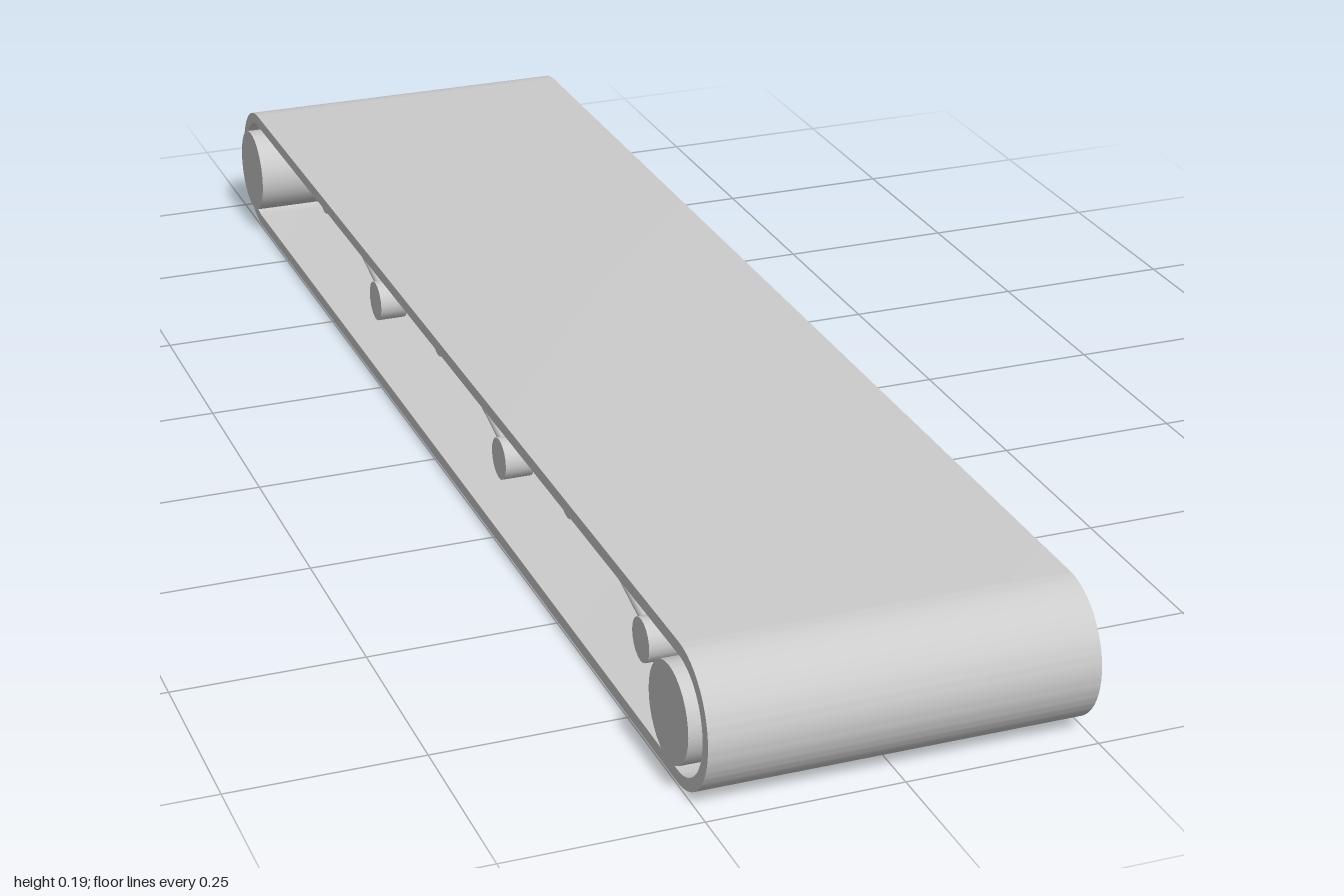
import * as THREE from 'three';
import { toCreasedNormals } from 'three/addons/utils/BufferGeometryUtils.js';

const material = new THREE.MeshStandardMaterial({ color: 0xcccccc });
const MID_Y = 0.0925;   // height of the roller axes
const AXLE_Z = 0.9075;  // distance of the roller axes from the middle

function add(parent, name, geometry) {
  const mesh = new THREE.Mesh(geometry, material);
  mesh.name = name;
  parent.add(mesh);
  return mesh;
}

// Stadium outline around both roller axes
function stadium(path, r) {
  path.absarc(AXLE_Z, MID_Y, r, -Math.PI / 2, Math.PI / 2, false);
  path.absarc(-AXLE_Z, MID_Y, r, Math.PI / 2, Math.PI * 1.5, false);
  path.closePath();
  return path;
}

// Cylinder lying along x
function crossCylinder(r, length, segments) {
  return new THREE.CylinderGeometry(r, r, length, segments).rotateZ(Math.PI / 2);
}

export function createModel() {
  const model = new THREE.Group();
  model.name = 'conveyor';

  // Endless belt: a stadium loop with a hollow middle
  const width = 0.496;
  const loop = stadium(new THREE.Shape(), 0.0925);
  loop.holes.push(stadium(new THREE.Path(), 0.076));
  const belt = new THREE.ExtrudeGeometry(loop, { depth: width, bevelEnabled: false, curveSegments: 24 });
  belt.translate(0, 0, -width / 2).rotateY(-Math.PI / 2);
  add(model, 'belt', toCreasedNormals(belt, 0.6));

  // End rollers, slightly wider than the belt
  for (const side of [1, -1]) {
    const roller = add(model, side > 0 ? 'frontRoller' : 'backRoller', crossCylinder(0.0625, 0.52, 32));
    roller.position.set(0, 0.095, side * AXLE_Z);
  }

  // Three slanted links along each side, with a pin at both ends
  for (const side of [1, -1]) {
    for (const z of [0.547, 0.015, -0.55]) {
      const link = new THREE.Group();
      link.name = side > 0 ? 'leftLink' : 'rightLink';
      link.position.set(side * 0.186, 0.095, z);
      model.add(link);

      const low = new THREE.Vector3(0, -0.035, 0.131);
      const high = low.clone().negate();
      for (const end of [low, high]) {
        add(link, 'pin', crossCylinder(0.029, 0.04, 20)).position.copy(end);
      }
      const rod = add(link, 'rod', new THREE.CylinderGeometry(0.008, 0.008, low.distanceTo(high), 10));
      rod.quaternion.setFromUnitVectors(new THREE.Vector3(0, 1, 0), high.clone().normalize());
    }
  }

  return model;
}
